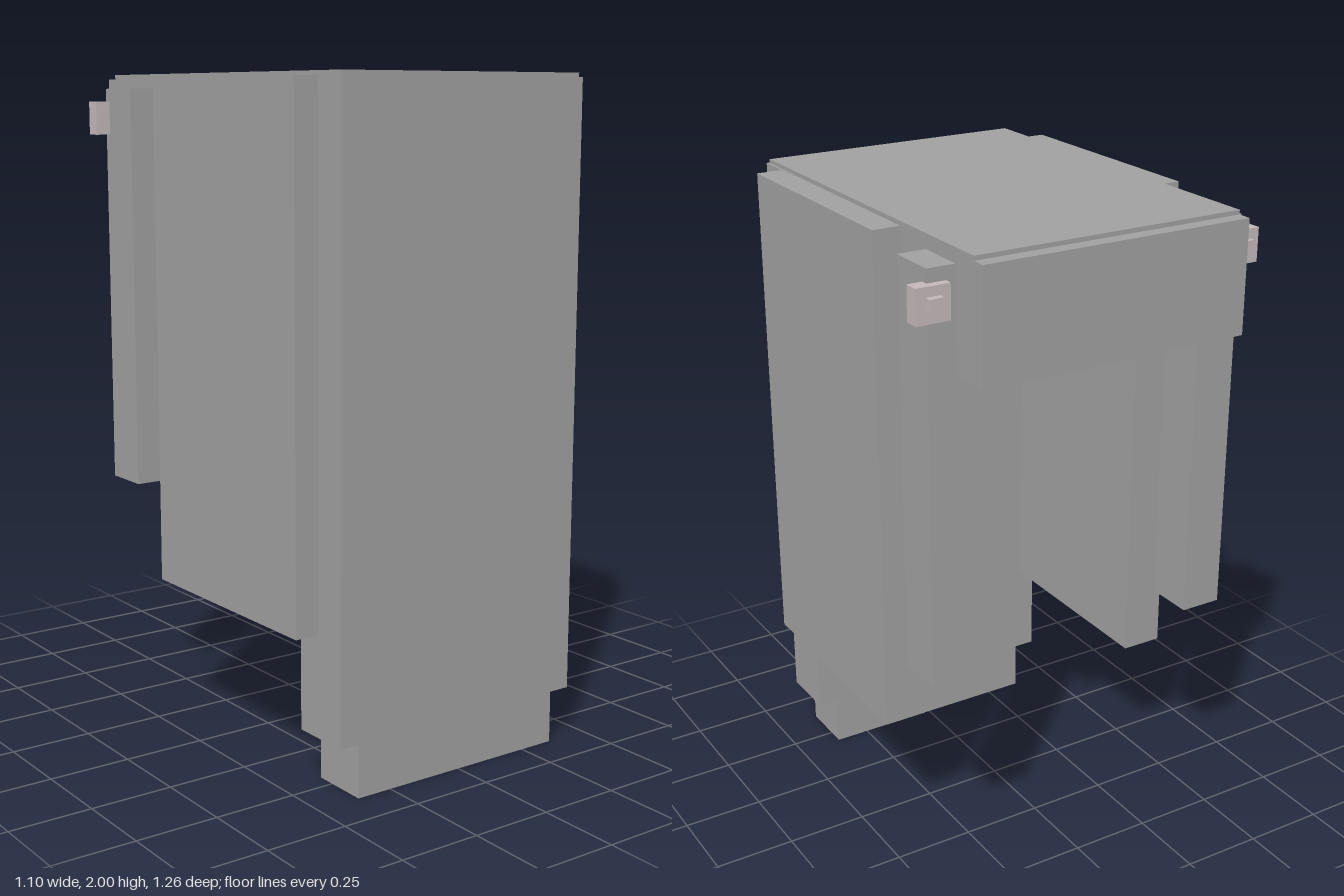
import * as THREE from 'three';

export function createModel() {
  const model = new THREE.Group();
  const grey = new THREE.MeshStandardMaterial({ color: 0xa0a0a0 });
  grey.name = 'mid grey';
  const pale = new THREE.MeshStandardMaterial({ color: 0xc2b8b9 });
  pale.name = 'pale rose grey';

  // Box given by its limits on each axis
  function box(name, [x0, x1], [y0, y1], [z0, z1], material = grey) {
    const mesh = new THREE.Mesh(new THREE.BoxGeometry(x1 - x0, y1 - y0, z1 - z0), material);
    mesh.position.set((x0 + x1) / 2, (y0 + y1) / 2, (z0 + z1) / 2);
    mesh.name = name;
    model.add(mesh);
  }

  // Same box on both sides, given by its +x limits
  function pair(name, [x0, x1], y, z, material) {
    box(name + 'Left', [x0, x1], y, z, material);
    box(name + 'Right', [-x1, -x0], y, z, material);
  }

  // Front slab on its narrower foot
  box('frontPanel', [-0.428, 0.426], [0.16, 1.988], [0.44, 0.63]);
  box('foot', [-0.363, 0.361], [0, 0.16], [0.445, 0.626]);

  // Roof with a flap hanging at the back
  box('roof', [-0.421, 0.419], [1.84, 2], [-0.587, 0.622]);
  box('backFlap', [-0.421, 0.419], [1.655, 1.987], [-0.63, -0.49]);

  // Side slabs and rear posts
  pair('sidePanel', [0.375, 0.504], [0.462, 1.987], [-0.206, 0.526]);
  pair('rearPost', [0.375, 0.504], [0.738, 1.957], [-0.496, -0.343]);

  // Small blocks with a stud behind the posts
  pair('postBlock', [0.447, 0.55], [1.818, 1.918], [-0.52, -0.475], pale);
  pair('postStud', [0.477, 0.52], [1.846, 1.89], [-0.54, -0.515], pale);

  return model;
}
